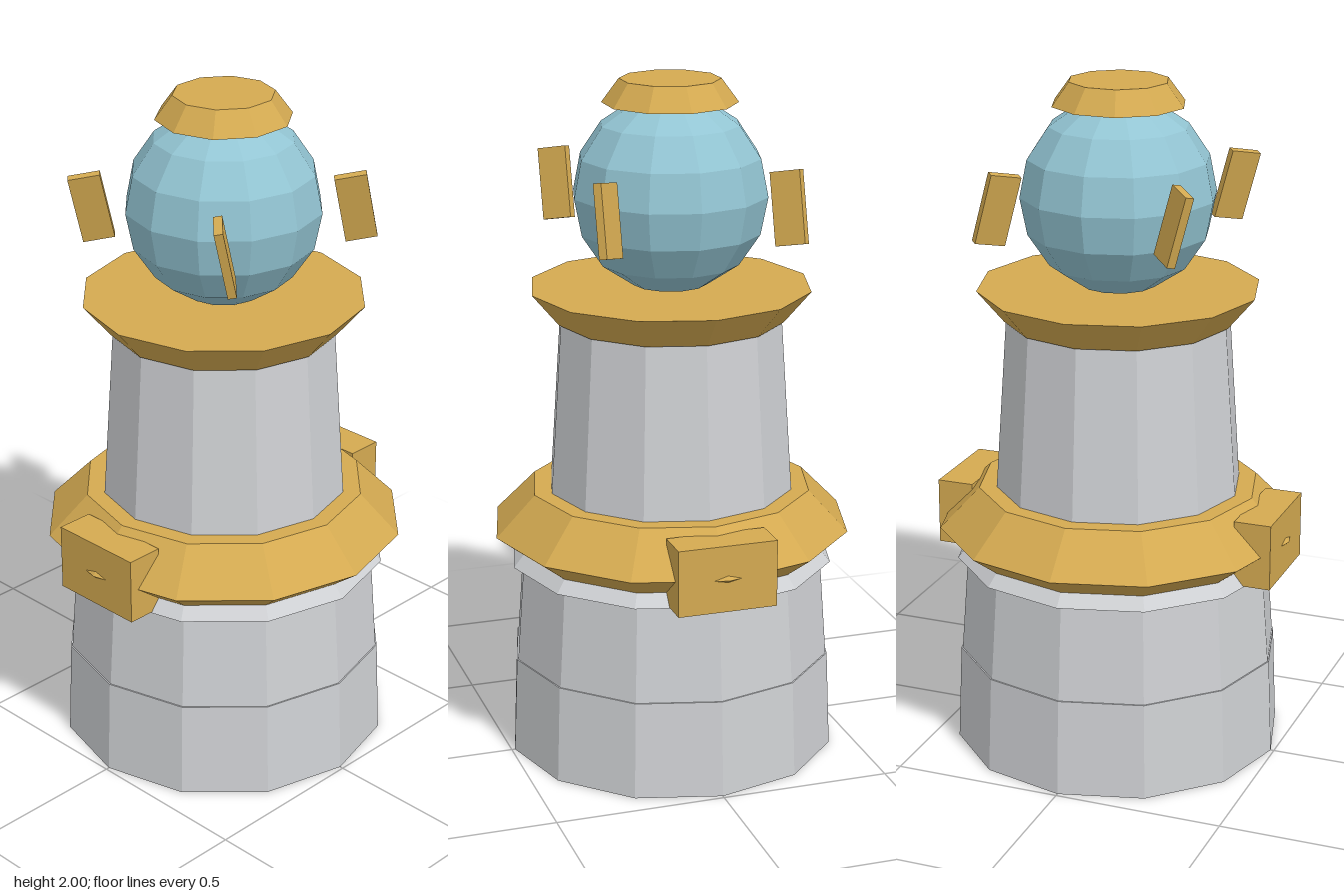
import * as THREE from 'three';

const mat = (name, color) => {
  const m = new THREE.MeshStandardMaterial({ color });
  m.name = name;
  return m;
};

export function createModel() {
  const stone = mat('pale grey stone', 0xcfd1d4);
  const gold = mat('gold', 0xd4aa51);
  const glass = mat('light blue glass', 0x93c5d3);
  const model = new THREE.Group();
  model.name = 'lighthouse';

  const add = (name, geometry, material, x = 0, y = 0, z = 0) => {
    const flat = geometry.index ? geometry.toNonIndexed() : geometry;
    flat.computeVertexNormals(); // faceted normals
    const mesh = new THREE.Mesh(flat, material);
    mesh.name = name;
    mesh.position.set(x, y, z);
    model.add(mesh);
    return mesh;
  };
  // Tapered drum between two heights
  const drum = (name, material, y0, r0, y1, r1, sides = 12) =>
    add(name, new THREE.CylinderGeometry(r1, r0, y1 - y0, sides), material, 0, (y0 + y1) / 2);

  // Stone tower
  drum('lowerBase', stone, 0, 0.49, 0.29, 0.478);
  drum('upperBase', stone, 0.29, 0.474, 0.59, 0.452);
  drum('baseLip', stone, 0.582, 0.482, 0.64, 0.435);
  drum('tower', stone, 0.7, 0.37, 1.32, 0.328);

  // Gold band with a sharp outer ridge
  const band = [[0, 0.61], [0.44, 0.61], [0.532, 0.68], [0.415, 0.8], [0, 0.8]];
  add('band', new THREE.LatheGeometry(band.map(([r, y]) => new THREE.Vector2(r, y)), 12), gold);
  for (const s of [1, -1]) {
    add(s > 0 ? 'leftBlock' : 'rightBlock', new THREE.BoxGeometry(0.11, 0.196, 0.292), gold, s * 0.466, 0.682, 0);
  }

  // Gallery, lamp globe and cap
  drum('gallery', gold, 1.306, 0.334, 1.4, 0.413);
  add('lampGlobe', new THREE.SphereGeometry(0.285, 12, 8), glass, 0, 1.67, 0);
  drum('cap', gold, 1.932, 0.195, 2, 0.145, 10).rotation.y = Math.PI / 10;

  // Four radial fins, all leaning the same way
  for (const sx of [1, -1]) {
    for (const sz of [1, -1]) {
      const fin = add('fin', new THREE.BoxGeometry(0.092, 0.208, 0.025), gold, sx * 0.263, 1.664, sz * 0.264);
      fin.rotation.set(0, -sx * sz * Math.PI / 4, 0.26, 'ZYX');
    }
  }
  return model;
}
